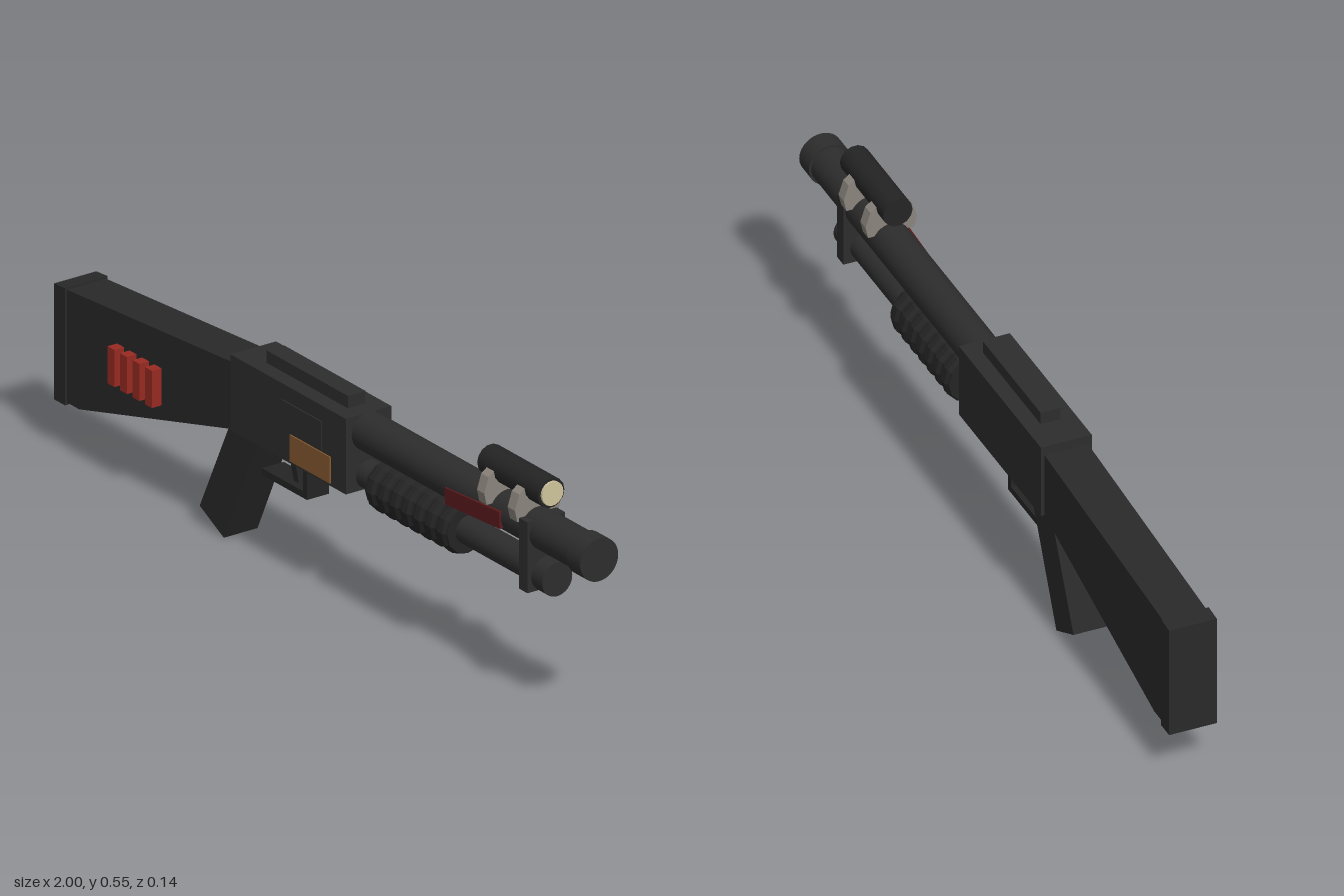
import * as THREE from 'three';

const mat = (name, color) => {
  const m = new THREE.MeshStandardMaterial({ color });
  m.name = name;
  return m;
};

export function createModel() {
  const gunmetal = mat('gunmetal', 0x2d2d2d);
  const polymer = mat('darkPolymer', 0x292929);
  const black = mat('blackSteel', 0x242424);
  const red = mat('shellRed', 0x982a22);
  const darkRed = mat('darkRed', 0x5c1a1c);
  const copper = mat('copper', 0x85592f);
  const grey = mat('mountGrey', 0x8a847c);
  const cream = mat('lensCream', 0xcfc49c);

  const root = new THREE.Group();
  root.name = 'shotgun';
  const gun = new THREE.Group();
  gun.name = 'gunBody';
  gun.position.z = -0.005; // centre plane of the gun
  root.add(gun);

  const add = (name, geo, material) => {
    const m = new THREE.Mesh(geo, material);
    m.name = name;
    gun.add(m);
    return m;
  };
  // Box given by its limits on each axis
  const box = (name, x0, x1, y0, y1, z0, z1, material) => {
    const m = add(name, new THREE.BoxGeometry(x1 - x0, y1 - y0, z1 - z0), material);
    m.position.set((x0 + x1) / 2, (y0 + y1) / 2, (z0 + z1) / 2);
    return m;
  };
  // Cylinder lying along x
  const tube = (name, x0, x1, y, r, material, sides = 32) => {
    const geo = new THREE.CylinderGeometry(r, r, x1 - x0, sides).rotateZ(-Math.PI / 2);
    const m = add(name, geo, material);
    m.position.set((x0 + x1) / 2, y, 0);
    return m;
  };
  // Side profile in x,y extruded to half-width h
  const slab = (name, pts, h, material) => {
    const shape = new THREE.Shape(pts.map(([x, y]) => new THREE.Vector2(x, y)));
    const geo = new THREE.ExtrudeGeometry(shape, { depth: 2 * h, bevelEnabled: false });
    return add(name, geo.translate(0, 0, -h), material);
  };

  // Receiver with top rail and side plates
  box('receiver', -0.32, 0.12, 0.285, 0.468, -0.062, 0.062, gunmetal);
  box('topRail', -0.235, 0.075, 0.46, 0.498, -0.024, 0.024, gunmetal);
  box('ejectionPort', -0.12, 0.03, 0.36, 0.43, 0.06, 0.0655, gunmetal);
  box('copperPlate', -0.09, 0.063, 0.292, 0.356, 0.058, 0.0655, copper);

  // Stock and butt plate
  slab('stock', [[-0.97, 0.123], [-0.91, 0.123], [-0.31, 0.287], [-0.31, 0.446], [-0.97, 0.395]],
    0.053, polymer);
  slab('buttPlate', [[-1, 0.117], [-0.957, 0.117], [-0.957, 0.401], [-1, 0.397]], 0.058, polymer);

  // Spare shells on the side of the stock
  for (let i = 0; i < 4; i++) {
    const x = -0.752 + i * 0.0475;
    box('spareShell', x - 0.013, x + 0.013, 0.244, 0.334, 0.045, 0.079, red);
  }

  // Grip, trigger and guard
  slab('grip', [[-0.46, 0.048], [-0.368, 0.003], [-0.232, 0.29], [-0.323, 0.33]], 0.046, polymer);
  box('guardBar', -0.245, -0.073, 0.195, 0.211, -0.03, 0.03, black);
  box('guardPost', -0.088, -0.073, 0.2, 0.29, -0.03, 0.03, black);
  slab('trigger', [[-0.146, 0.205], [-0.128, 0.205], [-0.152, 0.29], [-0.174, 0.29]], 0.012, black);

  // Barrel, muzzle ring and magazine tube
  tube('barrel', 0.11, 0.96, 0.424, 0.046, gunmetal);
  tube('muzzle', 0.948, 1, 0.424, 0.052, gunmetal);
  tube('magazineTube', 0.11, 0.8, 0.32, 0.034, gunmetal);
  tube('magazineCap', 0.79, 0.84, 0.32, 0.041, gunmetal);
  box('barrelClamp', 0.765, 0.798, 0.284, 0.455, -0.051, 0.051, gunmetal);

  // Ribbed pump handle
  const profile = [new THREE.Vector2(0, 0.185), new THREE.Vector2(0.057, 0.185)];
  const ribs = 7, step = 0.315 / ribs;
  for (let i = 0; i < ribs; i++) {
    const x = 0.185 + i * step;
    [[0.057, 0.1], [0.063, 0.3], [0.063, 0.7], [0.057, 0.9]].forEach(([r, t]) =>
      profile.push(new THREE.Vector2(r, x + t * step)));
  }
  profile.push(new THREE.Vector2(0.057, 0.5), new THREE.Vector2(0, 0.5));
  const pump = new THREE.LatheGeometry(profile, 12).rotateZ(-Math.PI / 2).toNonIndexed();
  pump.computeVertexNormals();
  add('pumpHandle', pump, black).position.y = 0.32;

  // Tilted strip on the barrel side
  const strip = box('barrelStrip', 0.48, 0.69, 0.392, 0.432, 0.02, 0.05, darkRed);
  strip.position.y = 0.414;
  strip.rotation.z = 0.07;

  // Flashlight with lens
  tube('flashlight', 0.585, 0.817, 0.521, 0.036, black, 14);
  tube('flashlightLens', 0.816, 0.823, 0.521, 0.029, cream, 20);

  // Ten-sided mount arches, cut off just above the barrel centre
  const arch = [[0.056, 0.446]];
  for (let i = 0; i <= 5; i++) {
    const a = (i * Math.PI) / 5;
    arch.push([0.0625 * Math.cos(a), 0.475 + 0.0625 * Math.sin(a)]);
  }
  arch.push([-0.056, 0.446]);
  for (const x of [0.635, 0.752]) {
    const mount = slab('flashlightMount', arch, 0.014, grey);
    mount.rotation.y = Math.PI / 2;
    mount.position.x = x;
  }
  return root;
}
